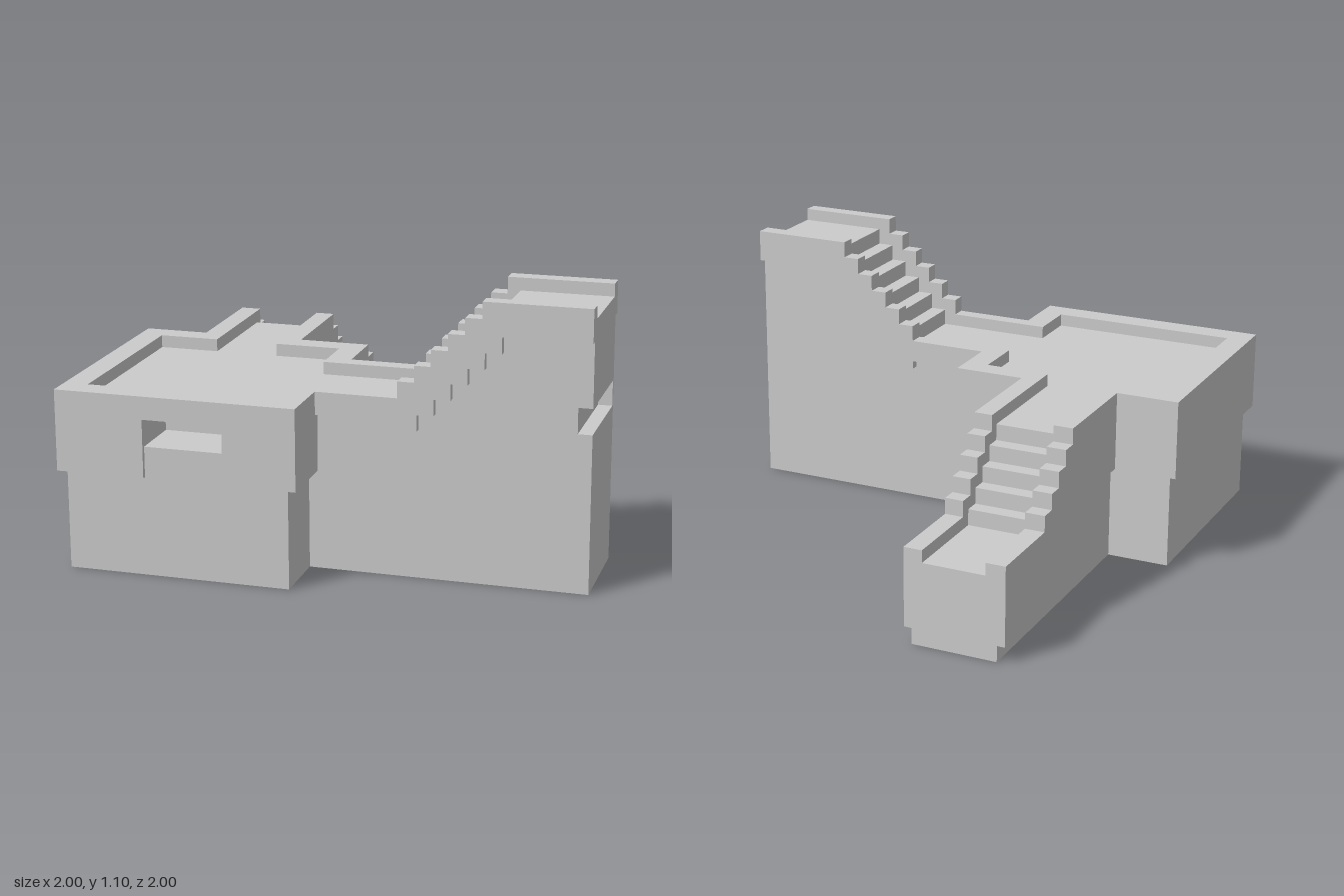
import * as THREE from 'three';

const material = new THREE.MeshStandardMaterial({ color: 0xcccccc, flatShading: true });

// Extrude a closed outline from depth a to depth b
function extrude(points, a, b) {
  const shape = new THREE.Shape(points.map(([u, v]) => new THREE.Vector2(u, v)));
  const geo = new THREE.ExtrudeGeometry(shape, { depth: b - a, bevelEnabled: false });
  return geo.translate(0, 0, a);
}
// Side profile (x, y) swept along z
const alongZ = (pts, z0, z1) => extrude(pts, z0, z1);
// Side profile (-z, y) swept along x
const alongX = (pts, x0, x1) => extrude(pts, x0, x1).rotateY(Math.PI / 2);
// Floor plan (x, z) raised along y
const alongY = (pts, y0, y1) => extrude(pts.map(([x, z]) => [x, -z]), y0, y1).rotateX(-Math.PI / 2);

// Corner points of a flight of n steps, the first riser standing at u
function steps(u, y, n, run, rise) {
  const pts = [];
  for (let i = 0; i < n; i++) {
    pts.push([u + i * run, y + i * rise], [u + i * run, y + (i + 1) * rise]);
  }
  return pts;
}

export function createModel() {
  const model = new THREE.Group();
  const add = (name, geo) => {
    const mesh = new THREE.Mesh(geo, material);
    mesh.name = name;
    model.add(mesh);
  };
  const rect = (x0, x1, z0, z1) => [[x0, z0], [x1, z0], [x1, z1], [x0, z1]];
  const FLOOR = 0.66, RIM = 0.71, RISE = 0.065;

  // Platform: inset base, then an overhanging body with a slot in its front
  add('platformBase', alongY(rect(-0.965, -0.085, 0.085, 0.983), 0, 0.39));
  const notched = (z) => [
    [-1, 0.05], [-0.05, 0.05], [-0.05, 1], [-0.335, 1], [-0.335, z], [-0.65, z], [-0.65, 1], [-1, 1],
  ];
  add('platformLowerBody', alongY(notched(0.983), 0.39, 0.51));
  add('platformSlotLayer', alongY(notched(0.76), 0.51, 0.62));
  add('platformFloor', alongY(rect(-1, -0.05, 0.05, 1), 0.62, FLOOR));

  // Low curb around the platform, open to both stairways
  add('platformCurb', alongY([
    [-0.05, 0.7], [-0.05, 1], [-1, 1], [-1, 0.05], [-0.665, 0.05], [-0.665, 0.14],
    [-0.905, 0.14], [-0.905, 0.9], [-0.145, 0.9], [-0.145, 0.7],
  ], FLOOR, RIM));
  add('cornerCurb', alongY([
    [-0.41, 0.05], [-0.05, 0.05], [-0.05, 0.35], [-0.145, 0.35], [-0.145, 0.14], [-0.41, 0.14],
  ], FLOOR, RIM));

  // Ascending stairway, with a slot in its end face
  const upTop = [...steps(0.32, FLOOR, 6, 0.064, RISE), [1, 1.05]].reverse();
  const upCore = (notch) => [[-0.085, 0], [1, 0], ...notch, ...upTop, [-0.085, FLOOR]];
  add('upperStair', alongZ(upCore([[1, 0.62], [0.945, 0.62], [0.945, 0.72], [1, 0.72]]), 0.335, 0.73));
  add('upperStairBackSkin', alongZ(upCore([]), 0.32, 0.335));
  const upCurb = [
    [-0.05, 0.62], [0.27, 0.62], [0.27, 0.587], ...steps(0.345, 0.587, 6, 0.064, 0.064), [1, 0.971],
    [1, 1.1], ...steps(0.27, RIM, 6, 0.064, RISE).reverse(), [-0.05, RIM],
  ];
  for (const [z0, z1] of [[0.285, 0.35], [0.7, 0.76]]) add('upperStairCurb', alongZ(upCurb, z0, z1));

  // Descending stairway towards the back
  add('lowerStair', alongX([
    [-0.085, 0], [1, 0], [1, 0.335],
    ...steps(0.355, FLOOR, 5, 0.0625, -RISE).reverse(), [-0.085, FLOOR],
  ], -0.713, -0.367));
  const downCurb = [
    [-0.05, 0.39], ...steps(0.33, 0.39, 5, 0.064, -RISE), [1, 0.065],
    [1, 0.385], ...steps(0.395, RIM, 5, 0.064, -RISE).reverse(), [-0.05, RIM],
  ];
  for (const [x0, x1] of [[-0.745, -0.665], [-0.41, -0.335]]) add('lowerStairCurb', alongX(downCurb, x0, x1));

  return model;
}
